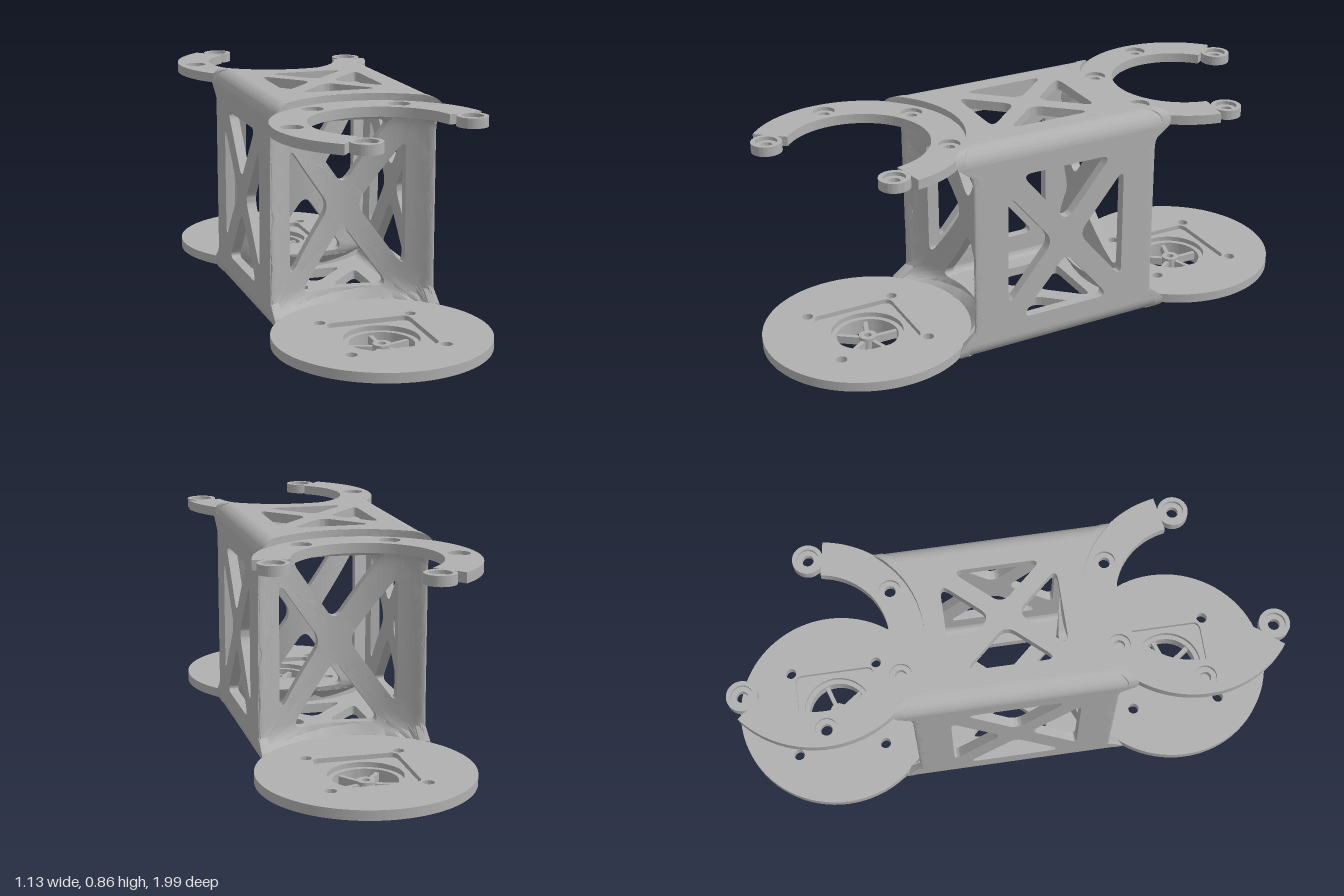
import * as THREE from 'three';
import { toCreasedNormals } from 'three/addons/utils/BufferGeometryUtils.js';

const W = 0.305, H = 0.405, EDGE = 0.06, WALL = 0.035; // tube half width, half height, edge radius, wall
const REACH = 0.648;                                   // joint centre distance from the middle
const R_DISC = 0.375;

const grey = new THREE.MeshStandardMaterial({ color: 0xb0b0b0 });
grey.name = 'grey';

function add(parent, name, geo, x = 0, y = 0, z = 0) {
  const mesh = new THREE.Mesh(geo, grey);
  mesh.name = name;
  mesh.position.set(x, y, z);
  parent.add(mesh);
  return mesh;
}

const extrude = (shape, depth, curveSegments = 10) =>
  new THREE.ExtrudeGeometry(shape, { depth, bevelEnabled: false, curveSegments });

// horizontal plate whose shape y becomes +z, from y0 up to y1
function plate(shape, y0, y1) {
  const g = extrude(shape, y1 - y0, 40);
  g.rotateX(Math.PI / 2).translate(0, y1, 0);
  return toCreasedNormals(g, 0.5);
}

// polygon with rounded corners
function roundedPoly(pts, k, Type = THREE.Path) {
  const path = new Type();
  pts.forEach((p, i) => {
    const v = new THREE.Vector2(...p);
    const a = new THREE.Vector2(...pts[(i + pts.length - 1) % pts.length]).sub(v).setLength(k).add(v);
    const b = new THREE.Vector2(...pts[(i + 1) % pts.length]).sub(v).setLength(k).add(v);
    if (i) path.lineTo(a.x, a.y); else path.moveTo(a.x, a.y);
    path.quadraticCurveTo(v.x, v.y, b.x, b.y);
  });
  path.closePath();
  return path;
}

const rect = (w, h) => [[-w, -h], [w, -h], [w, h], [-w, h]];

const circle = (x, y, r, Type = THREE.Path) => new Type().absarc(x, y, r, 0, Math.PI * 2, false);

// four triangular openings that leave an X of bars
function cutTruss(shape, w, h, t) {
  const len = Math.hypot(w, h), dy = t * len / w, dx = t * len / h;
  for (const s of [1, -1]) {
    shape.holes.push(roundedPoly([[0, s * dy], [s * (w - dx), s * h], [-s * (w - dx), s * h]], 0.045));
    shape.holes.push(roundedPoly([[s * dx, 0], [s * w, -s * (h - dy)], [s * w, s * (h - dy)]], 0.045));
  }
  return shape;
}

// split triangles at their longest edge until every edge is short enough to bend
function subdivide(geo, max) {
  const src = geo.index ? geo.toNonIndexed() : geo;
  const p = src.attributes.position, out = [];
  const v = i => new THREE.Vector3().fromBufferAttribute(p, i);
  const stack = [];
  for (let i = 0; i < p.count; i += 3) stack.push([v(i), v(i + 1), v(i + 2)]);
  while (stack.length) {
    const tri = stack.pop();
    const lengths = tri.map((q, i) => q.distanceTo(tri[(i + 1) % 3]));
    const longest = Math.max(...lengths);
    if (longest > max) {
      const k = lengths.indexOf(longest);
      const a = tri[k], b = tri[(k + 1) % 3], c = tri[(k + 2) % 3];
      const mid = a.clone().add(b).multiplyScalar(0.5);
      stack.push([a, mid, c], [mid, b, c]);
    } else {
      tri.forEach(q => out.push(q.x, q.y, q.z));
    }
  }
  const g = new THREE.BufferGeometry();
  g.setAttribute('position', new THREE.Float32BufferAttribute(out, 3));
  return g;
}

// concave end of the tube, flaring out to the joint plates at top and bottom
function endZ(x, y) {
  const t = Math.min(1, Math.max(0, (Math.abs(y) - 0.285) / 0.06));
  const r = 0.41 - 0.04 * (1 - Math.sqrt(1 - t * t));
  const ax = Math.min(Math.abs(x), W), lip = 0.025;
  const over = Math.min(lip, Math.max(0, ax - (W - lip)));
  return REACH - Math.sqrt(r * r - ax * ax) - (lip - Math.sqrt(lip * lip - over * over));
}

function bend(geo, rule) {
  const g = subdivide(geo, 0.05), p = g.attributes.position;
  for (let i = 0; i < p.count; i++) p.setZ(i, rule(p.getX(i), p.getY(i), p.getZ(i)));
  return toCreasedNormals(g, 0.6);
}

// carry the ends of a panel out to the concave end walls
const fitEnds = geo => bend(geo, (x, y, z) => {
  const a = Math.abs(z), flat = 0.235;
  return a <= flat ? z : Math.sign(z) * (flat + (a - flat) / (0.35 - flat) * (endZ(x, y) - flat));
});

const rectShape = (w, h) => new THREE.Shape(rect(w, h).map(p => new THREE.Vector2(...p)));

function buildTube() {
  const tube = new THREE.Group();
  tube.name = 'trussTube';
  for (const s of [1, -1]) {
    // side panels
    const side = cutTruss(rectShape(0.35, H - EDGE), 0.23, 0.28, 0.04);
    const sg = extrude(side, WALL).translate(0, 0, W - WALL).rotateY(s * Math.PI / 2);
    add(tube, s > 0 ? 'leftPanel' : 'rightPanel', fitEnds(sg));
    // top and bottom panels
    const top = cutTruss(rectShape(W - EDGE, 0.35), 0.185, 0.205, 0.03);
    const tg = extrude(top, WALL).translate(0, 0, H - WALL).rotateX(-s * Math.PI / 2);
    add(tube, s > 0 ? 'topPanel' : 'bottomPanel', fitEnds(tg));
    // concave end walls
    const wall = cutTruss(roundedPoly(rect(W, H), EDGE, THREE.Shape), 0.215, 0.305, 0.04);
    const wg = bend(extrude(wall, WALL), (x, y, z) => endZ(x, y) + z - WALL);
    add(tube, s > 0 ? 'frontWall' : 'backWall', wg).rotation.y = s > 0 ? 0 : Math.PI;
  }
  // rounded long edges
  [[1, 1], [-1, 1], [-1, -1], [1, -1]].forEach(([sx, sy], i) => {
    const cx = sx * (W - EDGE), cy = sy * (H - EDGE), a = i * Math.PI / 2, b = a + Math.PI / 2;
    const arc = new THREE.Shape();
    arc.absarc(cx, cy, EDGE, a, b, false);
    arc.absarc(cx, cy, EDGE - WALL, b, a, true);
    arc.closePath();
    add(tube, 'roundedEdge', fitEnds(extrude(arc, 0.7).translate(0, 0, -0.35)));
  });
  return tube;
}

// open fork ring with five counterbored screw holes
function buildForkRing(s) {
  const ring = new THREE.Group();
  ring.name = 'forkRing';
  const rad = THREE.MathUtils.degToRad, mid = 0.3125;
  for (const [y0, y1, hole] of [[0.795, 0.817, 0.02], [0.817, 0.83, 0.038]]) {
    const arc = new THREE.Shape();
    const a = -s * rad(9), b = -s * rad(231);
    arc.absarc(0, 0, R_DISC, a, b, s > 0);
    arc.absarc(0, 0, 0.25, b, a, s < 0);
    arc.closePath();
    for (let i = 0; i < 5; i++) {
      const t = -s * rad(60 * i), x = mid * Math.cos(t), z = mid * Math.sin(t);
      if (i % 4) { arc.holes.push(circle(x, z, hole)); continue; }
      const lobe = circle(x, z, 0.054, THREE.Shape);
      lobe.holes.push(circle(x, z, hole));
      add(ring, 'forkTip', plate(lobe, y0, y1));
    }
    add(ring, 'forkArc', plate(arc, y0, y1));
  }
  return ring;
}

// joint disc with square recess, bearing cup and spoked hub
function buildJointDisc() {
  const joint = new THREE.Group();
  joint.name = 'jointDisc';
  const corners = rect(0.166, 0.166);
  for (const [y0, y1, opening] of [
    [0.07, 0.088, circle(0, 0, 0.13)],
    [0.088, 0.105, roundedPoly(rect(0.152, 0.152), 0.03)],
  ]) {
    const disc = circle(0, 0, R_DISC, THREE.Shape);
    disc.holes.push(opening, ...corners.map(([x, z]) => circle(x, z, 0.02)));
    add(joint, 'discPlate', plate(disc, y0, y1));
  }
  const ringPlate = (name, outer, inner, y0, y1, x = 0, z = 0) => {
    const shape = circle(x, z, outer, THREE.Shape);
    shape.holes.push(circle(x, z, inner));
    add(joint, name, plate(shape, y0, y1));
  };
  for (const [x, z] of corners) ringPlate('screwBoss', 0.052, 0.025, 0.058, 0.07, x, z);
  ringPlate('bearingCup', 0.157, 0.128, 0, 0.07);
  ringPlate('spokeRim', 0.13, 0.112, 0.02, 0.07);
  ringPlate('hub', 0.032, 0.014, 0.02, 0.07);
  for (let i = 0; i < 5; i++) {
    const spoke = new THREE.BoxGeometry(0.095, 0.03, 0.016).translate(0.073, 0, 0);
    add(joint, 'spoke', spoke, 0, 0.045, 0).rotation.y = Math.PI / 2 + i * Math.PI * 0.4;
  }
  return joint;
}

export function createModel() {
  const model = new THREE.Group();
  model.name = 'legBracket';
  const tube = buildTube();
  tube.position.y = 0.45;
  model.add(tube);
  for (const s of [1, -1]) {
    const disc = buildJointDisc(), ring = buildForkRing(s);
    disc.position.z = ring.position.z = s * REACH;
    model.add(disc, ring);
  }
  model.rotation.y = -0.297;
  const root = new THREE.Group();
  root.add(model);
  return root;
}
